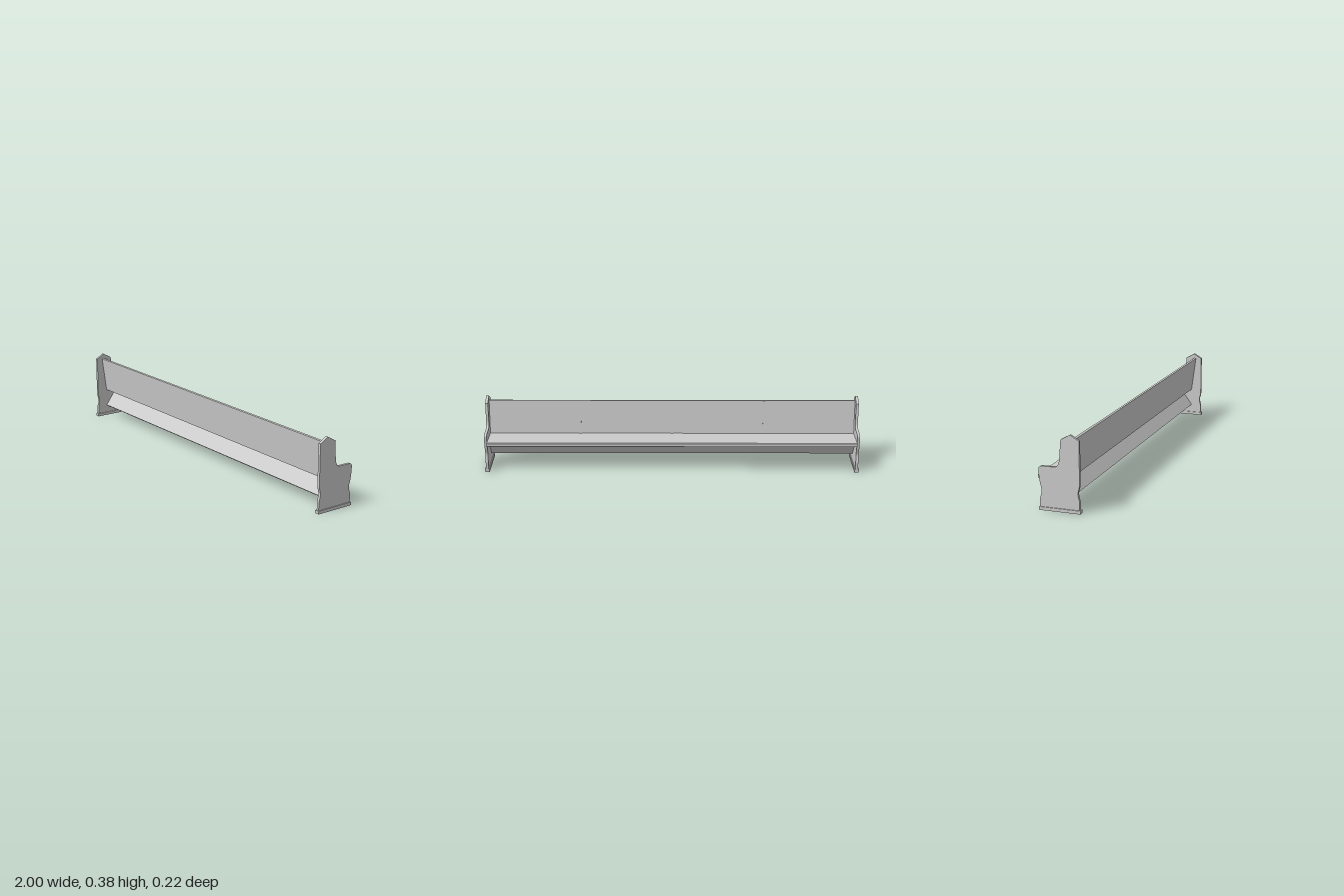
import * as THREE from 'three';

const material = new THREE.MeshStandardMaterial({ color: 0xcccccc });

// Extrudes a side profile, drawn as (z, y), along x and centres it on the given x.
function extrudeAlongX(name, shape, length, x = 0) {
  const geometry = new THREE.ExtrudeGeometry(shape, { depth: length, bevelEnabled: false, curveSegments: 6 });
  geometry.translate(0, 0, -length / 2);
  geometry.rotateY(-Math.PI / 2);
  const mesh = new THREE.Mesh(geometry, material);
  mesh.name = name;
  mesh.position.x = x;
  return mesh;
}

const polygon = (points) => new THREE.Shape(points.map(([z, y]) => new THREE.Vector2(z, y)));

// Bench end: pointed top, curved arm and a waisted foot.
function endShape() {
  const s = new THREE.Shape();
  s.moveTo(0.105, 0.014);
  s.lineTo(0.105, 0.055);
  s.bezierCurveTo(0.103, 0.07, 0.097, 0.083, 0.097, 0.095);
  s.bezierCurveTo(0.097, 0.107, 0.103, 0.12, 0.105, 0.135);
  s.lineTo(0.105, 0.35);
  s.lineTo(0.06, 0.376);
  s.lineTo(0.013, 0.35);
  s.lineTo(0.006, 0.26);
  s.bezierCurveTo(0.004, 0.235, -0.003, 0.216, -0.018, 0.215);
  s.lineTo(-0.084, 0.214);
  s.quadraticCurveTo(-0.1, 0.212, -0.1, 0.198);
  s.bezierCurveTo(-0.1, 0.175, -0.097, 0.15, -0.094, 0.135);
  s.bezierCurveTo(-0.091, 0.12, -0.085, 0.107, -0.085, 0.095);
  s.bezierCurveTo(-0.085, 0.083, -0.091, 0.07, -0.094, 0.058);
  s.lineTo(-0.094, 0.014);
  return s;
}

export function createModel() {
  const model = new THREE.Group();
  model.name = 'longBench';
  const span = 1.966;

  // Ends with foot plates
  for (const side of [1, -1]) {
    const prefix = side > 0 ? 'left' : 'right';
    model.add(extrudeAlongX(prefix + 'End', endShape(), 0.014, side * 0.988));
    const foot = polygon([[0.11, 0], [0.11, 0.016], [-0.098, 0.016], [-0.098, 0]]);
    model.add(extrudeAlongX(prefix + 'Foot', foot, 0.024, side * 0.988));
  }

  // Seat board with a softened leading edge
  const seat = polygon([
    [0.04, 0.154], [0.038, 0.168], [-0.104, 0.172], [-0.108, 0.169],
    [-0.108, 0.153], [-0.105, 0.15],
  ]);
  model.add(extrudeAlongX('seat', seat, span));

  // Reclined back board
  const back = polygon([[0.047, 0.155], [0.072, 0.348], [0.061, 0.35], [0.036, 0.157]]);
  model.add(extrudeAlongX('backBoard', back, span));

  // Sloping brace board under the seat
  const brace = polygon([[0.048, 0.06], [-0.022, 0.156], [-0.038, 0.156], [0.036, 0.051]]);
  model.add(extrudeAlongX('underSeatBoard', brace, span));

  // Narrow strips over the joints of the back
  const strip = polygon([[0.039, 0.166], [0.0625, 0.349], [0.0585, 0.349], [0.035, 0.166]]);
  for (const x of [-0.495, 0, 0.495]) model.add(extrudeAlongX('backStrip', strip, 0.012, x));

  return model;
}
